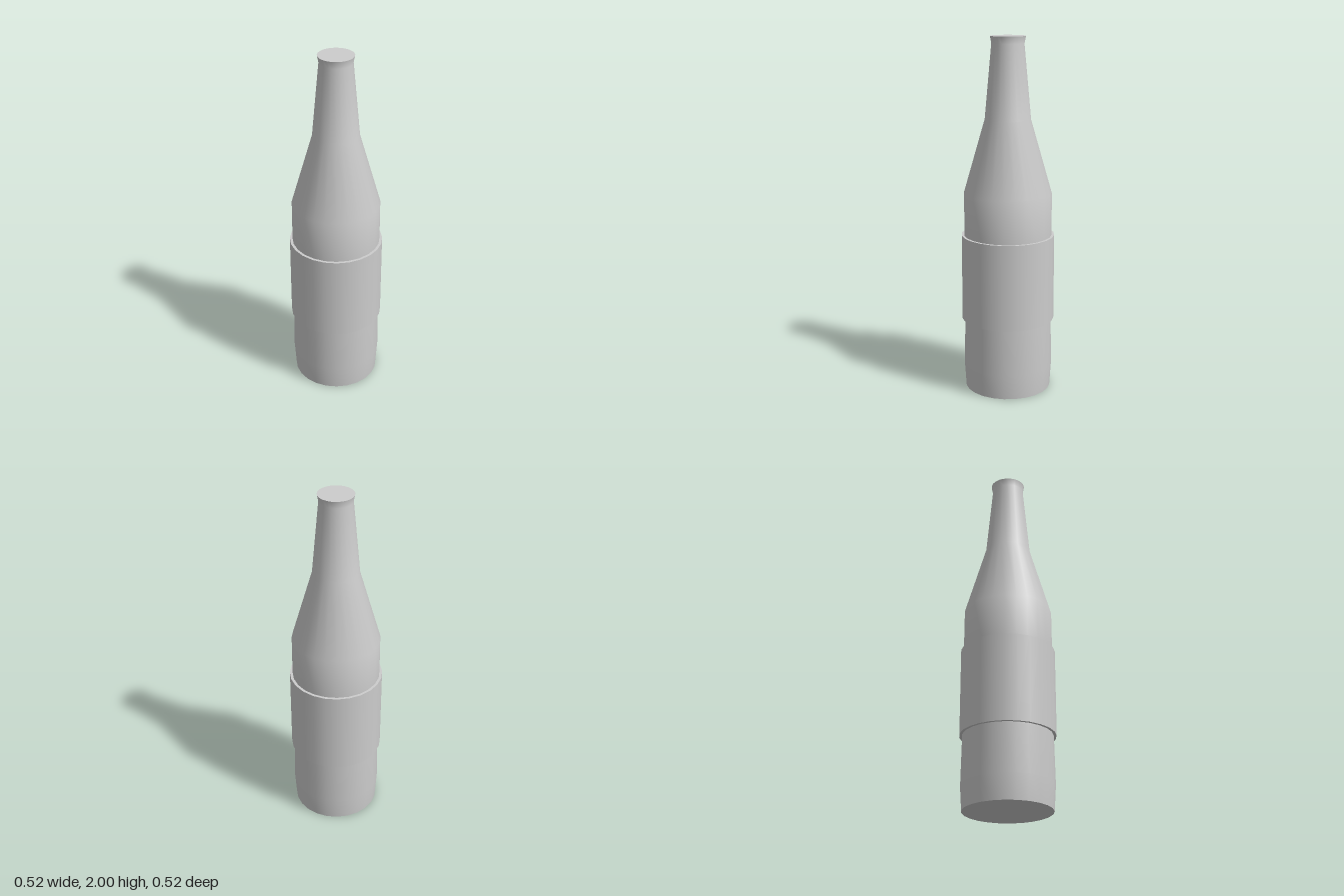
import * as THREE from 'three';

const SIDES = 24;

export function createModel() {
  const group = new THREE.Group();
  const grey = new THREE.MeshStandardMaterial({ color: 0xcccccc });
  grey.name = 'light grey';

  const add = (name, geometry, y = 0, tilt = 0) => {
    const mesh = new THREE.Mesh(geometry, grey);
    mesh.name = name;
    mesh.position.y = y;
    mesh.rotation.x = tilt;
    group.add(mesh);
  };
  const UP = -Math.PI / 2, DOWN = Math.PI / 2;

  // Bottle wall: radius and height from base to lip
  const profile = [
    [0.243, 0], [0.252, 0.14], [0.247, 0.4], [0.247, 0.9], [0.246, 1.14],
    [0.128, 1.55], [0.09, 1.96], [0.098, 2],
  ].map(([r, y]) => new THREE.Vector2(r, y));
  add('bottleBody', new THREE.LatheGeometry(profile, SIDES));
  add('bottleBase', new THREE.CircleGeometry(0.243, SIDES), 0, DOWN);
  add('mouthCap', new THREE.CircleGeometry(0.098, SIDES), 2, UP);

  // Raised label sleeve with flat rims
  const low = 0.41, high = 0.9, radius = 0.262;
  add('labelSleeve',
    new THREE.CylinderGeometry(radius, radius, high - low, SIDES, 1, true), (low + high) / 2);
  add('labelTopRim', new THREE.RingGeometry(0.24, radius, SIDES), high, UP);
  add('labelBottomRim', new THREE.RingGeometry(0.24, radius, SIDES), low, DOWN);

  return group;
}
